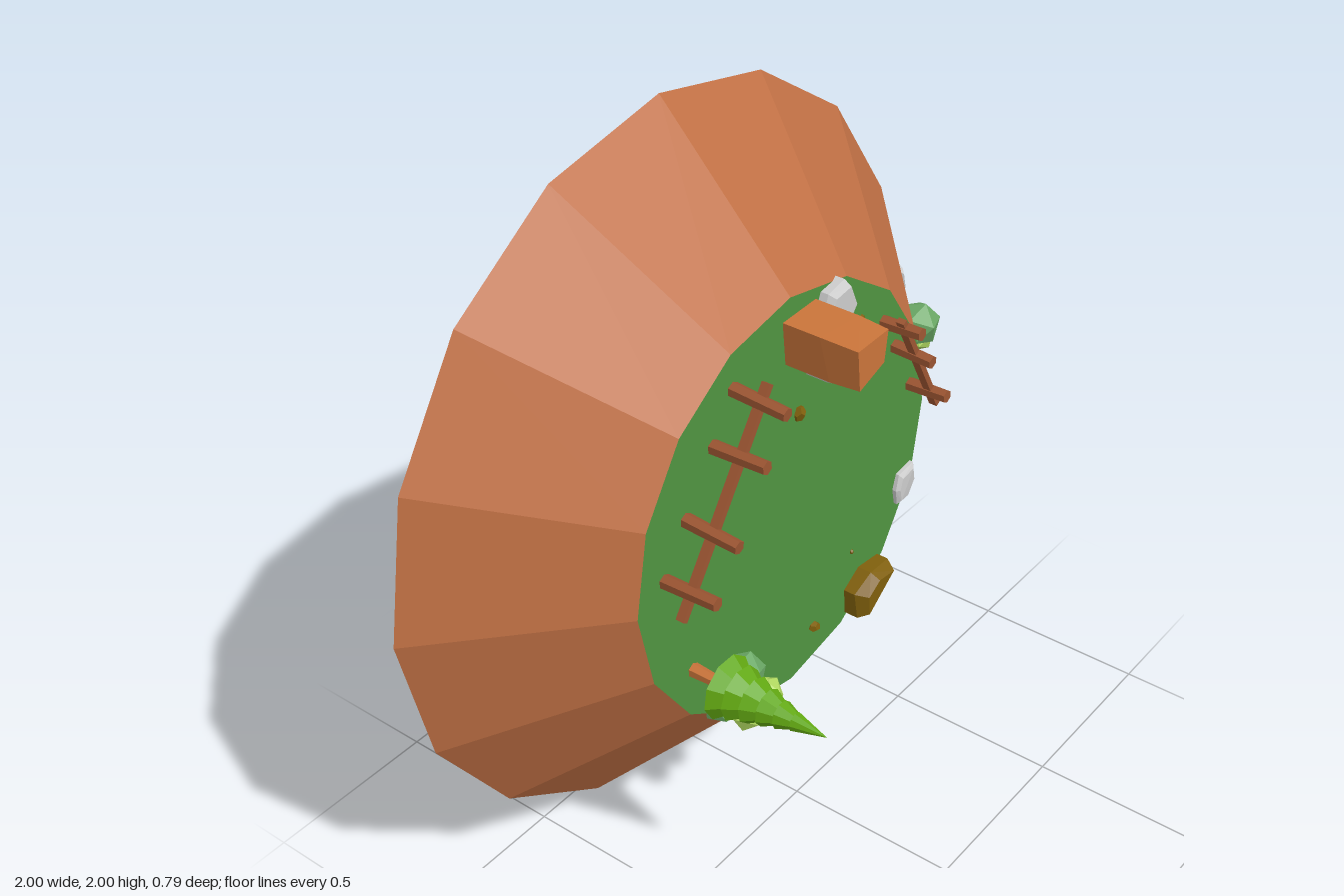
import * as THREE from 'three';
import { ConvexGeometry } from 'three/addons/geometries/ConvexGeometry.js';

const SIDES = 16, TOP_R = 0.59, TOP_Z = -0.02, BASE_Z = -0.4;
const DIRT = 0xc07044, GRASS = 0x4f9340, STONE = 0xcccccc, OLIVE = 0x7f5f0c, CLAY = 0xc9743a;
const WOOD = 0x9c5532, DARK_LEAF = 0x6aa865, LIGHT_LEAF = 0xb0d860, PINE = 0x62a812;

const mats = {};
const mat = (color) => (mats[color] ??= new THREE.MeshStandardMaterial({ color, flatShading: true }));

function add(parent, name, geometry, color, x = 0, y = 0, z = 0) {
  const mesh = new THREE.Mesh(geometry, mat(color));
  mesh.name = name;
  mesh.position.set(x, y, z);
  parent.add(mesh);
  return mesh;
}

// height (z) of the sixteen-sided mound at a point
function ground(x, y) {
  const step = (2 * Math.PI) / SIDES;
  const a = Math.atan2(y - 1, x);
  const mid = (Math.floor(a / step) + 0.5) * step;
  const r = (Math.hypot(x, y - 1) * Math.cos(a - mid)) / Math.cos(step / 2);
  return r < TOP_R ? TOP_Z : TOP_Z - ((r - TOP_R) / (1 - TOP_R)) * (TOP_Z - BASE_Z);
}

// faceted stone: an outline raised off the ground, narrowing to its top
function rock(parent, name, color, outline, height, taper = 0.75) {
  const cx = outline.reduce((s, p) => s + p[0], 0) / outline.length;
  const cy = outline.reduce((s, p) => s + p[1], 0) / outline.length;
  const points = [];
  outline.forEach(([x, y], i) => {
    const tx = cx + (x - cx) * taper, ty = cy + (y - cy) * taper;
    const g = ground(x, y);
    points.push(
      new THREE.Vector3(x, y, g - 0.02),
      new THREE.Vector3(x, y, g + height * (0.5 + 0.1 * (i % 2))),
      new THREE.Vector3(tx, ty, ground(tx, ty) + height)
    );
  });
  return add(parent, name, new ConvexGeometry(points), color);
}

// posts along a line joined by one rail
function fence(parent, name, from, to, posts, postHeight, railZ) {
  const group = new THREE.Group();
  group.name = name;
  const dx = to[0] - from[0], dy = to[1] - from[1];
  const angle = Math.atan2(dy, dx);
  const rail = add(group, 'rail', new THREE.BoxGeometry(Math.hypot(dx, dy), 0.016, 0.024), WOOD,
    (from[0] + to[0]) / 2, (from[1] + to[1]) / 2, railZ);
  rail.rotation.z = angle;
  posts.forEach((t, i) => {
    const post = add(group, 'post', new THREE.CylinderGeometry(0.018, 0.02, postHeight, 6), WOOD,
      from[0] + dx * t, from[1] + dy * t, TOP_Z + postHeight / 2);
    post.rotation.set(Math.PI / 2 + (i % 2 ? 0.06 : -0.04), 0, 0);
  });
  parent.add(group);
}

export function createModel() {
  const model = new THREE.Group();
  model.name = 'plateau';

  // mound
  const slope = new THREE.CylinderGeometry(TOP_R, 1, TOP_Z - BASE_Z, SIDES, 1, true).rotateX(Math.PI / 2);
  add(model, 'slope', slope, DIRT, 0, 1, (TOP_Z + BASE_Z) / 2);
  add(model, 'grass', new THREE.CircleGeometry(TOP_R, SIDES), GRASS, 0, 1, TOP_Z);
  add(model, 'underside', new THREE.CircleGeometry(1, SIDES).rotateY(Math.PI), DIRT, 0, 1, BASE_Z);

  // fences
  fence(model, 'leftHandFence', [-0.53, 1.0], [-0.195, 1.485], [0.12, 0.37, 0.69, 0.92], 0.16, 0.062);
  fence(model, 'rightHandFence', [0.375, 1.37], [0.55, 1.035], [0.09, 0.4, 0.85], 0.12, 0.045);

  // pine tree
  const tree = new THREE.Group();
  tree.name = 'tree';
  tree.position.set(-0.4, 0.72, TOP_Z);
  tree.rotation.x = Math.PI / 2;
  add(tree, 'trunk', new THREE.CylinderGeometry(0.012, 0.02, 0.14, 6), CLAY, 0, 0.07, 0);
  for (let i = 0; i < 6; i++) {
    const h = 0.115 - i * 0.004;
    const tier = add(tree, 'foliage', new THREE.ConeGeometry(0.088 - i * 0.0125, h, 9), PINE, 0, 0.105 + i * 0.042 + h / 2, 0);
    tier.rotation.y = i * 0.5;
  }
  model.add(tree);

  // bushes: x, y, z, radius, colour
  [
    [0.65, 1.185, -0.085, 0.066, DARK_LEAF], [0.72, 1.1, -0.13, 0.05, LIGHT_LEAF],
    [-0.24, 0.615, 0.012, 0.06, DARK_LEAF], [-0.31, 0.545, -0.01, 0.05, DARK_LEAF],
    [-0.21, 0.52, 0.022, 0.056, LIGHT_LEAF], [-0.22, 0.448, 0.0, 0.042, LIGHT_LEAF],
    [-0.14, 0.472, 0.005, 0.048, LIGHT_LEAF],
  ].forEach(([x, y, z, r, color], i) => {
    add(model, 'bush', new THREE.IcosahedronGeometry(r, 0), color, x, y, z).rotation.set(0.3 + i, 0.5 * i, 0.4);
  });

  // large stones
  rock(model, 'clayStone', CLAY, [[-0.03, 1.535], [0.1, 1.54], [0.085, 1.45], [-0.02, 1.415]], 0.215, 0.93);
  rock(model, 'stone', STONE, [[0.12, 1.55], [0.19, 1.56], [0.22, 1.49], [0.175, 1.435], [0.105, 1.445], [0.095, 1.495]], 0.045, 0.85);
  rock(model, 'stone', STONE, [[0.055, 1.455], [0.13, 1.45], [0.17, 1.4], [0.13, 1.34], [0.065, 1.345], [0.03, 1.405]], 0.12, 0.85);
  rock(model, 'stone', STONE, [[0.475, 0.815], [0.54, 0.825], [0.56, 0.765], [0.525, 0.71], [0.47, 0.72], [0.46, 0.77]], 0.02);
  rock(model, 'boulder', OLIVE, [[0.24, 0.56], [0.305, 0.6], [0.395, 0.59], [0.405, 0.515], [0.36, 0.445], [0.245, 0.48]], 0.07);
  rock(model, 'boulder', OLIVE, [[0.395, 0.29], [0.43, 0.34], [0.52, 0.375], [0.515, 0.32], [0.46, 0.275]], 0.04, 0.6);
  rock(model, 'slab', STONE, [[0.05, 0.185], [0.165, 0.19], [0.15, 0.095], [0.095, 0.05], [0.065, 0.08]], 0.025, 0.85);
  rock(model, 'slab', STONE, [[-0.145, 0.265], [-0.11, 0.265], [-0.07, 0.245], [-0.085, 0.23], [-0.13, 0.25]], 0.012);
  rock(model, 'slab', STONE, [[0.77, 1.24], [0.79, 1.25], [0.81, 1.22], [0.81, 1.185], [0.775, 1.185]], 0.02);

  // pebbles: x, y, radius, colour
  [
    [0.74, 0.79, 0.026, OLIVE], [0.66, 0.95, 0.01, STONE], [0.03, 1.25, 0.024, OLIVE],
    [0.21, 1.305, 0.01, OLIVE], [0.29, 1.395, 0.014, OLIVE], [0.1, 0.527, 0.022, OLIVE], [0.27, 0.675, 0.009, OLIVE],
  ].forEach(([x, y, r, color], i) => {
    const pebble = add(model, 'pebble', new THREE.DodecahedronGeometry(r, 0), color, x, y, ground(x, y));
    pebble.rotation.set(i, i * 0.7, 0);
    pebble.scale.set(1, 0.85, 0.7);
  });

  // steps down the slope: x, y, length
  [
    [0.49, 0.612, 0.085], [0.587, 0.65, 0.165], [0.637, 0.575, 0.185],
    [0.687, 0.54, 0.185], [0.737, 0.502, 0.2], [0.78, 0.475, 0.22],
  ].forEach(([x, y, length], i) => {
    const step = add(model, 'step', new THREE.BoxGeometry(i ? 0.032 : 0.02, length, 0.03), STONE, x, y, ground(x, y));
    step.rotation.z = -0.63;
  });

  return model;
}
